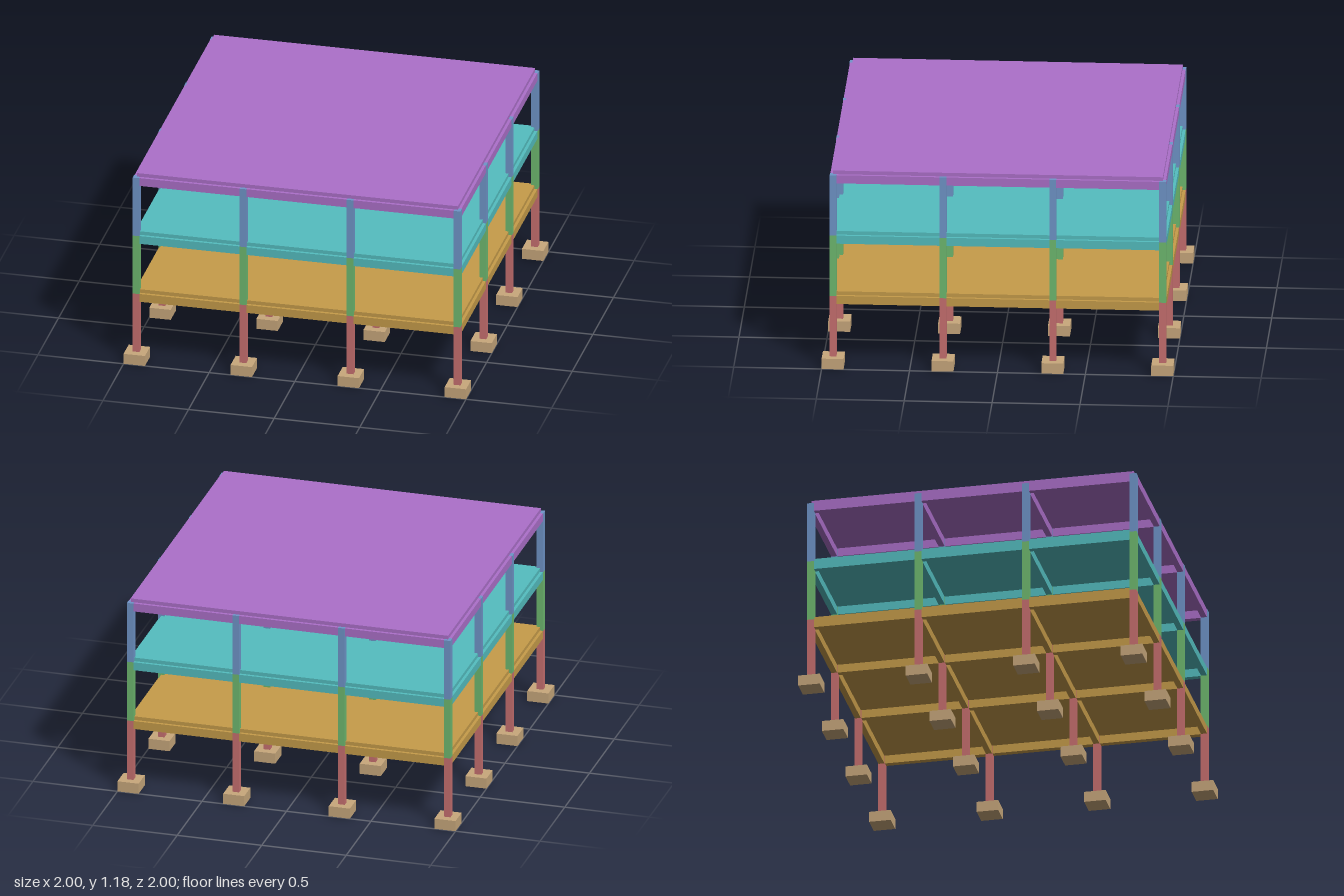
import * as THREE from 'three';

const GRID = [-0.9375, -0.3125, 0.3125, 0.9375]; // column lines in x and z
const BAY = 0.625;
const FOOT = 0.125, FOOT_H = 0.0625;
const COL = 0.039, STOREY = 0.3645;
const BEAM_W = 0.034, BEAM_H = 0.049;
const SLAB_T = 0.022;

function material(name, color) {
  const m = new THREE.MeshStandardMaterial({ color });
  m.name = name;
  return m;
}

// Box whose base sits at y
function block(parent, name, mat, w, h, d, x, y, z) {
  const mesh = new THREE.Mesh(new THREE.BoxGeometry(w, h, d), mat);
  mesh.name = name;
  mesh.position.set(x, y + h / 2, z);
  parent.add(mesh);
}

export function createModel() {
  const model = new THREE.Group();
  model.name = 'buildingFrame';

  const tan = material('footing tan', 0xc8a87c);
  const storeys = [
    { name: 'lower', column: material('column red', 0xc87070), floor: material('floor ochre', 0xc69c4a) },
    { name: 'middle', column: material('column green', 0x6fba70), floor: material('floor teal', 0x54bec0) },
    { name: 'upper', column: material('column blue', 0x7096ca), floor: material('floor purple', 0xac70ca) },
  ];

  // Pad footings under every column
  const footings = new THREE.Group();
  footings.name = 'footings';
  model.add(footings);
  for (const x of GRID) for (const z of GRID) {
    block(footings, 'footing', tan, FOOT, FOOT_H, FOOT, x, 0, z);
  }

  storeys.forEach(({ name, column, floor }, i) => {
    const storey = new THREE.Group();
    storey.name = name + 'Storey';
    model.add(storey);
    const base = FOOT_H + i * STOREY;
    const top = base + STOREY;

    // Columns
    for (const x of GRID) for (const z of GRID) {
      block(storey, 'column', column, COL, STOREY, COL, x, base, z);
    }

    // Beams spanning between column faces in both directions
    const span = BAY - COL;
    for (const line of GRID) for (const mid of [-BAY, 0, BAY]) {
      block(storey, 'crossBeam', floor, span, BEAM_H, BEAM_W, mid, top - BEAM_H, line);
      block(storey, 'longBeam', floor, BEAM_W, BEAM_H, span, line, top - BEAM_H, mid);
    }

    // Slab resting on the beams
    block(storey, 'slab', floor, 3 * BAY, SLAB_T, 3 * BAY, 0, top, 0);
  });

  return model;
}
